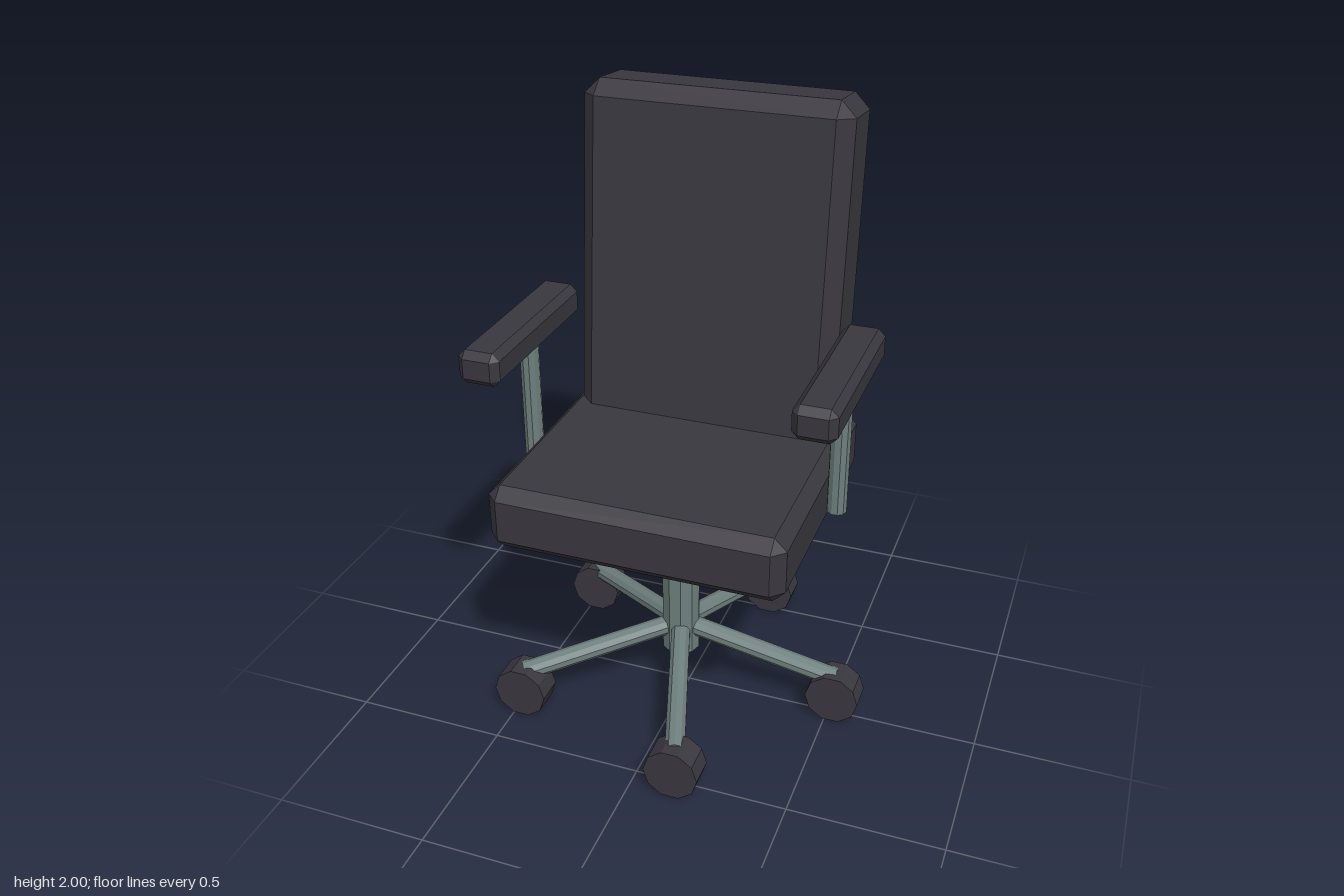
import * as THREE from 'three';
import { ConvexGeometry } from 'three/addons/geometries/ConvexGeometry.js';

const SIDES = 10;
const CX = -0.03; // x of the chair's central axis

// Box with flat chamfers along every edge
function chamferBox(w, h, d, b) {
  const half = [w / 2, h / 2, d / 2];
  const points = [];
  for (const sx of [-1, 1]) for (const sy of [-1, 1]) for (const sz of [-1, 1]) {
    const s = [sx, sy, sz];
    for (let face = 0; face < 3; face++) {
      points.push(new THREE.Vector3(...half.map((v, i) => s[i] * (i === face ? v : v - b))));
    }
  }
  return new ConvexGeometry(points);
}

// Cylinder with a corner pointing along +x
const rod = (r, len) =>
  new THREE.CylinderGeometry(r, r, len, SIDES, 1, false, Math.PI / 2);

export function createModel() {
  const chair = new THREE.Group();
  chair.name = 'officeChair';

  const upholstery = new THREE.MeshStandardMaterial({ color: 0x3a383f, flatShading: true });
  upholstery.name = 'dark upholstery';
  const metal = new THREE.MeshStandardMaterial({ color: 0x6e7f7d, flatShading: true });
  metal.name = 'grey metal';

  function add(name, geometry, material, x, y, z) {
    const mesh = new THREE.Mesh(geometry, material);
    mesh.name = name;
    mesh.position.set(x, y, z);
    chair.add(mesh);
    return mesh;
  }

  // Seat cushion and reclined backrest
  add('seat', chamferBox(0.955, 0.22, 0.905, 0.04), upholstery, CX, 0.82, 0);
  const back = add('backrest', chamferBox(0.875, 1.15, 0.272, 0.05), upholstery, CX, 1.42, -0.359);
  back.rotation.x = -0.097;

  // Armrests on thin posts
  for (const [side, s] of [['left', 1], ['right', -1]]) {
    const x = CX + s * 0.52;
    add(side + 'Armrest', chamferBox(0.136, 0.11, 0.615, 0.023), upholstery, x, 1.275, 0.048);
    add(side + 'ArmPost', rod(0.032, 0.44), metal, x, 1.02, 0);
  }

  // Central column
  add('column', rod(0.065, 0.6), metal, CX, 0.45, 0);

  // Five sloping legs, each ending in a caster
  const up = new THREE.Vector3(0, 1, 0);
  for (let i = 0; i < 5; i++) {
    const a = (i * Math.PI * 2) / 5;
    const dx = Math.cos(a) * 0.55;
    const dz = Math.sin(a) * 0.55;
    const dir = new THREE.Vector3(dx, -0.1, dz);
    const leg = add('leg' + (i + 1), rod(0.033, dir.length()), metal, CX + dx / 2, 0.195, dz / 2);
    leg.quaternion.setFromUnitVectors(up, dir.normalize());

    const caster = add('caster' + (i + 1), rod(0.09, 0.096), upholstery, CX + dx, 0.0856, dz);
    caster.rotation.x = Math.PI / 2;
  }

  return chair;
}
